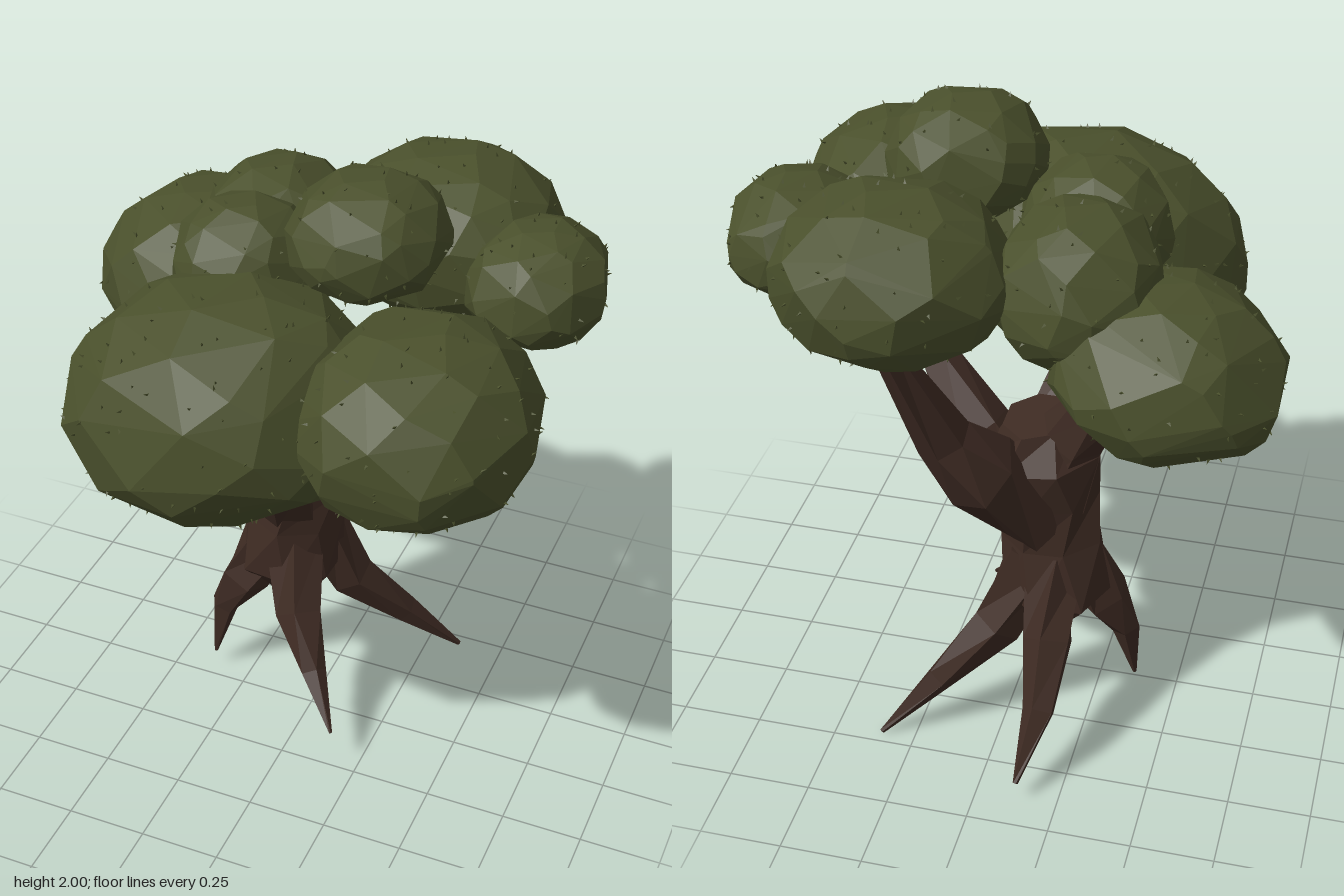
import * as THREE from 'three';
import { mergeGeometries } from 'three/addons/utils/BufferGeometryUtils.js';
import { ConvexGeometry } from 'three/addons/geometries/ConvexGeometry.js';

const V = (x, y, z) => new THREE.Vector3(x, y, z);

// Small seeded generator for the irregular facets
function seeded(seed) {
  let s = seed;
  return () => (s = (s * 16807) % 2147483647) / 2147483647;
}

// Faceted limb: each station is [x, y, z, radius]; rings are joined in loops
function limbGeometry(stations, sides, rnd) {
  const centres = stations.map(s => V(s[0], s[1], s[2]));
  const pos = [], idx = [];
  centres.forEach((c, i) => {
    const t = centres[Math.min(i + 1, centres.length - 1)].clone()
      .sub(centres[Math.max(i - 1, 0)]).normalize();
    const q = new THREE.Quaternion().setFromUnitVectors(V(0, 1, 0), t);
    for (let k = 0; k < sides; k++) {
      const a = (k + 0.25 * (i % 2)) / sides * Math.PI * 2;
      const r = stations[i][3] * (0.92 + 0.2 * rnd());
      const p = V(Math.sin(a) * r, 0, Math.cos(a) * r).applyQuaternion(q).add(c);
      pos.push(p.x, p.y, p.z);
    }
  });
  for (let i = 0; i < centres.length - 1; i++) {
    for (let k = 0; k < sides; k++) {
      const a = i * sides + k, b = i * sides + (k + 1) % sides;
      idx.push(a, b, b + sides, a, b + sides, a + sides);
    }
  }
  // end caps
  const last = (centres.length - 1) * sides;
  for (let k = 1; k < sides - 1; k++) {
    idx.push(0, k + 1, k, last, last + k, last + k + 1);
  }
  const g = new THREE.BufferGeometry();
  g.setAttribute('position', new THREE.Float32BufferAttribute(pos, 3));
  g.setIndex(idx);
  g.computeVertexNormals();
  return g;
}

// Faceted clump with a flattened underside; its top leans along x, and it fits a box
function clumpGeometry(min, max, lean, rnd) {
  const points = [], n = 66, power = 2.12;
  for (let i = 0; i < n; i++) {
    const y = 1 - 2 * (i + 0.5) / n;
    const a = i * 2.39996 + (rnd() - 0.5) * 0.7;
    const d = V(Math.cos(a) * Math.sqrt(1 - y * y), y + (rnd() - 0.5) * 0.14,
      Math.sin(a) * Math.sqrt(1 - y * y));
    const sum = Math.abs(d.x) ** power + Math.abs(d.y) ** power + Math.abs(d.z) ** power;
    d.divideScalar(sum ** (1 / power));
    d.y = d.y > 0 ? d.y : Math.max(d.y, -0.87) * 0.85;
    d.x += lean * d.y;
    points.push(d);
  }
  const box = new THREE.Box3().setFromPoints(points), size = box.getSize(V(0, 0, 0));
  points.forEach(p => p.sub(box.min).divide(size)
    .multiply(max.clone().sub(min)).add(min));
  return new ConvexGeometry(points);
}

// Tiny leaf tips scattered evenly over a clump's faces
function leafTips(clump, perArea, rnd) {
  const p = clump.getAttribute('position'), tips = [], tri = new THREE.Triangle();
  const at = V(0, 0, 0), normal = V(0, 0, 0);
  for (let i = 0; i < p.count; i += 3) {
    tri.setFromAttributeAndIndices(p, i, i + 1, i + 2);
    tri.getNormal(normal);
    const count = Math.floor(tri.getArea() * perArea + rnd());
    for (let k = 0; k < count; k++) {
      let u = rnd(), v = rnd();
      if (u + v > 1) { u = 1 - u; v = 1 - v; }
      at.copy(tri.a).multiplyScalar(1 - u - v)
        .addScaledVector(tri.b, u).addScaledVector(tri.c, v);
      const dir = normal.clone().add(V(rnd() - 0.5, rnd() - 0.5, rnd() - 0.5)).normalize();
      const cone = new THREE.ConeGeometry(0.006, 0.018, 3, 1, true);
      cone.translate(0, 0.005, 0);
      cone.applyQuaternion(new THREE.Quaternion().setFromUnitVectors(V(0, 1, 0), dir));
      tips.push(cone.translate(at.x, at.y, at.z));
    }
  }
  return mergeGeometries(tips);
}

export function createModel() {
  const tree = new THREE.Group();
  tree.name = 'tree';
  const bark = new THREE.MeshStandardMaterial({ name: 'bark brown', color: 0x3e2b23, flatShading: true });
  const leaf = new THREE.MeshStandardMaterial({ name: 'leaf green', color: 0x4a502c, flatShading: true });
  const rnd = seeded(4711);

  const add = (name, geometry, material) => {
    const mesh = new THREE.Mesh(geometry, material);
    mesh.name = name;
    tree.add(mesh);
  };

  // Trunk, roots and branches: [x, y, z, radius] along each
  const limbs = {
    trunk: [7, [-0.13, 0.36, -0.16, 0.08], [-0.13, 0.47, -0.16, 0.165], [-0.12, 0.66, -0.16, 0.145],
      [-0.11, 0.82, -0.16, 0.16], [-0.09, 0.97, -0.16, 0.18], [-0.08, 1.08, -0.17, 0.11]],
    rootBackLeft: [5, [-0.08, 0.6, -0.2, 0.1], [0.03, 0.36, -0.27, 0.075], [0.19, 0.18, -0.36, 0.045], [0.355, 0.005, -0.46, 0.008]],
    rootFront: [5, [-0.1, 0.6, -0.12, 0.1], [-0.03, 0.39, 0.02, 0.075], [0.06, 0.26, 0.13, 0.04], [0.17, 0.14, 0.25, 0.005]],
    rootRight: [5, [-0.17, 0.62, -0.14, 0.1], [-0.27, 0.39, -0.09, 0.085], [-0.34, 0.26, -0.07, 0.045], [-0.37, 0.06, -0.05, 0.006]],
    rootBack: [5, [-0.14, 0.6, -0.22, 0.1], [-0.16, 0.4, -0.36, 0.075], [-0.16, 0.24, -0.5, 0.05], [-0.125, 0.07, -0.65, 0.008]],
    branchBackLeft: [6, [-0.09, 0.76, -0.2, 0.12], [0.05, 0.98, -0.35, 0.12], [0.14, 1.13, -0.42, 0.085], [0.26, 1.5, -0.56, 0.04]],
    branchFront: [6, [-0.12, 0.74, -0.11, 0.12], [-0.11, 0.95, 0.02, 0.12], [-0.13, 1.11, 0.09, 0.07], [-0.16, 1.32, 0.2, 0.05]],
    branchRight: [6, [-0.13, 0.82, -0.17, 0.11], [-0.18, 1.04, -0.18, 0.1], [-0.28, 1.2, -0.22, 0.075], [-0.42, 1.36, -0.28, 0.055]],
    branchLeft: [5, [-0.08, 0.82, -0.17, 0.1], [0.1, 1.0, -0.16, 0.1], [0.24, 1.17, -0.08, 0.06], [0.4, 1.38, 0.04, 0.035]]
  };
  for (const [name, [sides, ...stations]] of Object.entries(limbs)) {
    add(name, limbGeometry(stations, sides, rnd), bark);
  }

  // Foliage clumps: lower and upper corner of each, and the lean of its top
  const clumps = {
    foliageFrontRight: [V(-0.6, 1.1, -0.08), V(0.31, 1.74, 0.73), 0.12],
    foliageFrontLeft: [V(0.13, 1.25, -0.05), V(0.79, 1.75, 0.68), 0],
    foliageBackRight: [V(-0.8, 1.21, -0.67), V(-0.16, 1.66, 0.01), 0.12],
    foliageMiddleRight: [V(-0.46, 1.4, -0.54), V(0.03, 1.83, 0.02), 0],
    foliageBackLeft: [V(-0.06, 1.44, -0.73), V(0.61, 1.89, -0.08), 0],
    foliageSideLeft: [V(0.39, 1.49, -0.47), V(0.81, 1.81, 0.01), 0],
    foliageCentre: [V(-0.43, 1.46, -0.21), V(0.02, 1.84, 0.22), 0],
    foliageTop: [V(-0.05, 1.67, -0.23), V(0.4, 1.995, 0.25), 0]
  };
  for (const [name, [min, max, lean]] of Object.entries(clumps)) {
    const geometry = clumpGeometry(min, max, lean, rnd);
    add(name, geometry, leaf);
    add(name + 'LeafTips', leafTips(geometry, 85, rnd), leaf);
  }
  return tree;
}
